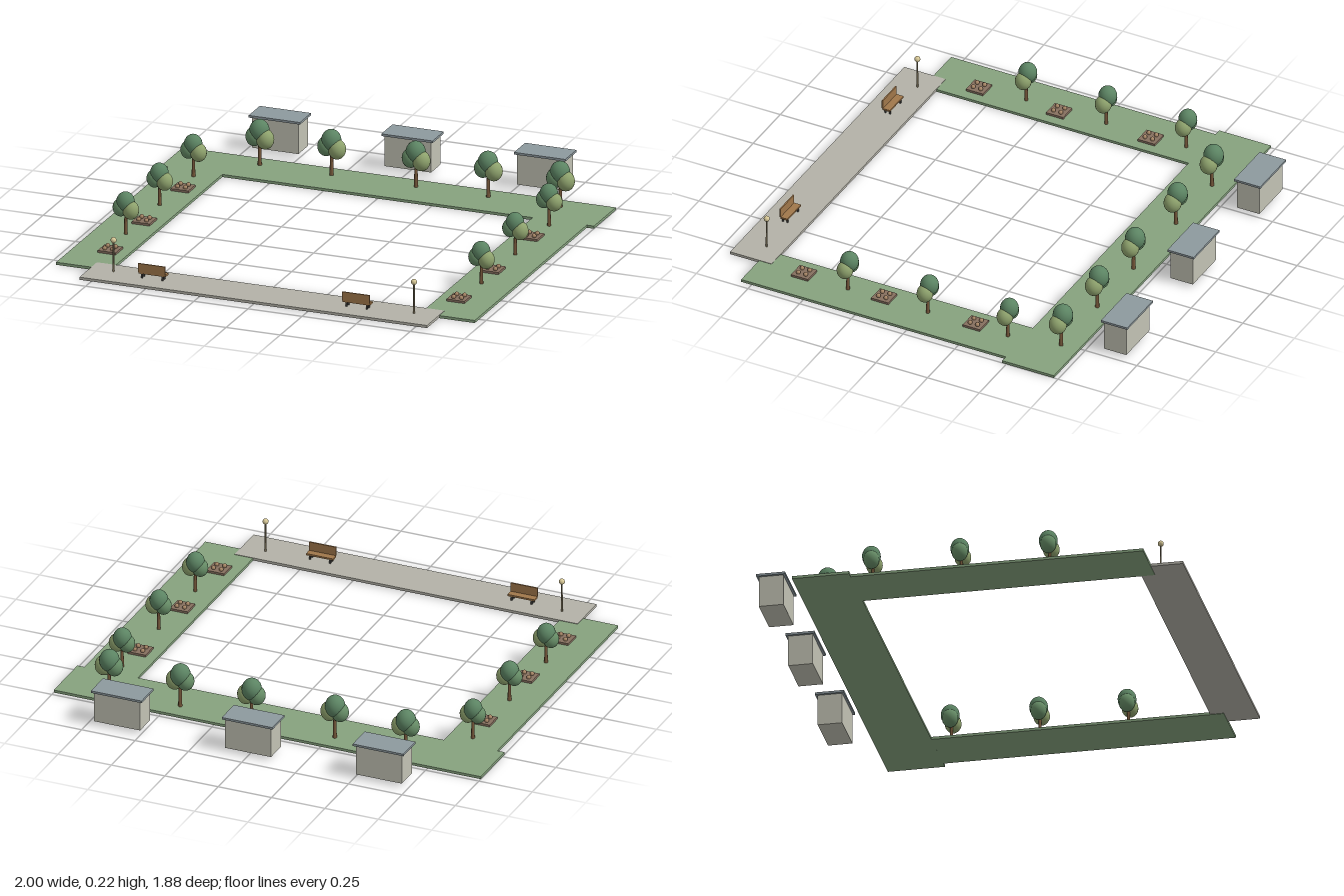
import * as THREE from 'three';

const mat = (color) => new THREE.MeshStandardMaterial({ color });
const M = {
  lawn: mat(0x86a27e), paving: mat(0xb3b1a7), wall: mat(0xc2c2b4), roof: mat(0x8d999e),
  trunk: mat(0x76573a), leafDark: mat(0x5c8463), leafMid: mat(0x668c66), leafLight: mat(0x8ea26d),
  soil: mat(0x86705f), bloom: mat(0xa98868), wood: mat(0xa0774a), metal: mat(0x4a4a48),
  post: mat(0x857a60), globe: mat(0xd8c998),
};

const GROUND = 0.012;

function add(parent, name, geometry, material, x, y, z) {
  const mesh = new THREE.Mesh(geometry, material);
  mesh.name = name;
  mesh.position.set(x, y, z);
  parent.add(mesh);
  return mesh;
}

// Box given by its centre in x and z and its bottom in y
const box = (parent, name, material, w, h, d, x, y, z) =>
  add(parent, name, new THREE.BoxGeometry(w, h, d), material, x, y + h / 2, z);

function group(parent, name, x, y, z) {
  const g = new THREE.Group();
  g.name = name;
  g.position.set(x, y, z);
  parent.add(g);
  return g;
}

// Tree: thin trunk with three overlapping egg-shaped leaf masses
function tree(parent, x, z, scale) {
  const g = group(parent, 'tree', x, GROUND, z);
  add(g, 'trunk', new THREE.CylinderGeometry(0.006, 0.009, 0.12, 10), M.trunk, 0, 0.06, 0);
  const crowns = [
    ['crownTop', M.leafDark, 0.044, -0.004, 0.155, -0.006],
    ['crownLeft', M.leafMid, 0.038, -0.026, 0.128, -0.002],
    ['crownRight', M.leafLight, 0.039, 0.026, 0.122, 0.002],
  ];
  for (const [name, material, r, cx, cy, cz] of crowns) {
    add(g, name, new THREE.SphereGeometry(r, 20, 14), material, cx, cy, cz).scale.y = 1.15;
  }
  g.scale.setScalar(scale);
}

// Square planting bed with four small plants
function planter(parent, x, z) {
  const g = group(parent, 'planter', x, GROUND, z);
  box(g, 'bed', M.soil, 0.083, 0.01, 0.083, 0, 0, 0);
  for (const px of [-0.018, 0.018]) {
    for (const pz of [-0.018, 0.018]) {
      add(g, 'plant', new THREE.SphereGeometry(0.01, 12, 8), M.bloom, px, 0.016, pz);
    }
  }
}

// Bench looking in towards the court
function bench(parent, x, z) {
  const g = group(parent, 'bench', x, GROUND, z);
  box(g, 'seat', M.wood, 0.126, 0.008, 0.034, 0, 0.022, -0.001);
  box(g, 'backrest', M.wood, 0.126, 0.04, 0.006, 0, 0.03, 0.018);
  for (const s of [-1, 1]) {
    for (const lz of [-0.011, 0.011]) {
      box(g, 'leg', M.metal, 0.007, 0.023, 0.007, s * 0.047, 0, lz);
    }
  }
}

// Lamp post with a round globe
function lamp(parent, x, z) {
  const g = group(parent, 'lamp', x, GROUND, z);
  add(g, 'post', new THREE.CylinderGeometry(0.0035, 0.0045, 0.138, 10), M.post, 0, 0.069, 0);
  add(g, 'globe', new THREE.SphereGeometry(0.013, 16, 12), M.globe, 0, 0.145, 0);
}

// Small flat-roofed pavilion
function pavilion(parent, x, z) {
  const g = group(parent, 'pavilion', x, 0.016, z);
  box(g, 'walls', M.wall, 0.215, 0.14, 0.107, 0, 0, 0);
  box(g, 'roof', M.roof, 0.237, 0.01, 0.127, 0, 0.139, 0);
}

export function createModel() {
  const root = new THREE.Group();
  root.name = 'courtyardGarden';

  // Ground strips around the open court
  box(root, 'backLawn', M.lawn, 2, GROUND, 0.25, 0, 0, -0.605);
  for (const s of [-1, 1]) {
    box(root, 'sideLawn', M.lawn, 0.25, GROUND, 1.28, s * 0.842, 0, 0.16);
  }
  box(root, 'frontPath', M.paving, 1.606, 0.012, 0.2, 0, 0.002, 0.84);

  // Planting
  for (const x of [-0.612, -0.28, 0.11, 0.444, 0.777]) tree(root, x, -0.648, 1);
  for (const x of [-0.823, 0.82]) {
    for (const z of [-0.413, -0.026, 0.361]) tree(root, x, z, 0.92);
  }
  for (const s of [-1, 1]) {
    for (const z of [-0.25, 0.193, 0.581]) planter(root, s * 0.806, z);
  }

  // Furniture on the path
  for (const x of [-0.503, 0.441]) bench(root, x, 0.838);
  for (const s of [-1, 1]) lamp(root, s * 0.694, 0.82);

  // Pavilions behind the lawn
  for (const x of [-0.613, 0, 0.613]) pavilion(root, x, -0.88);

  return root;
}
